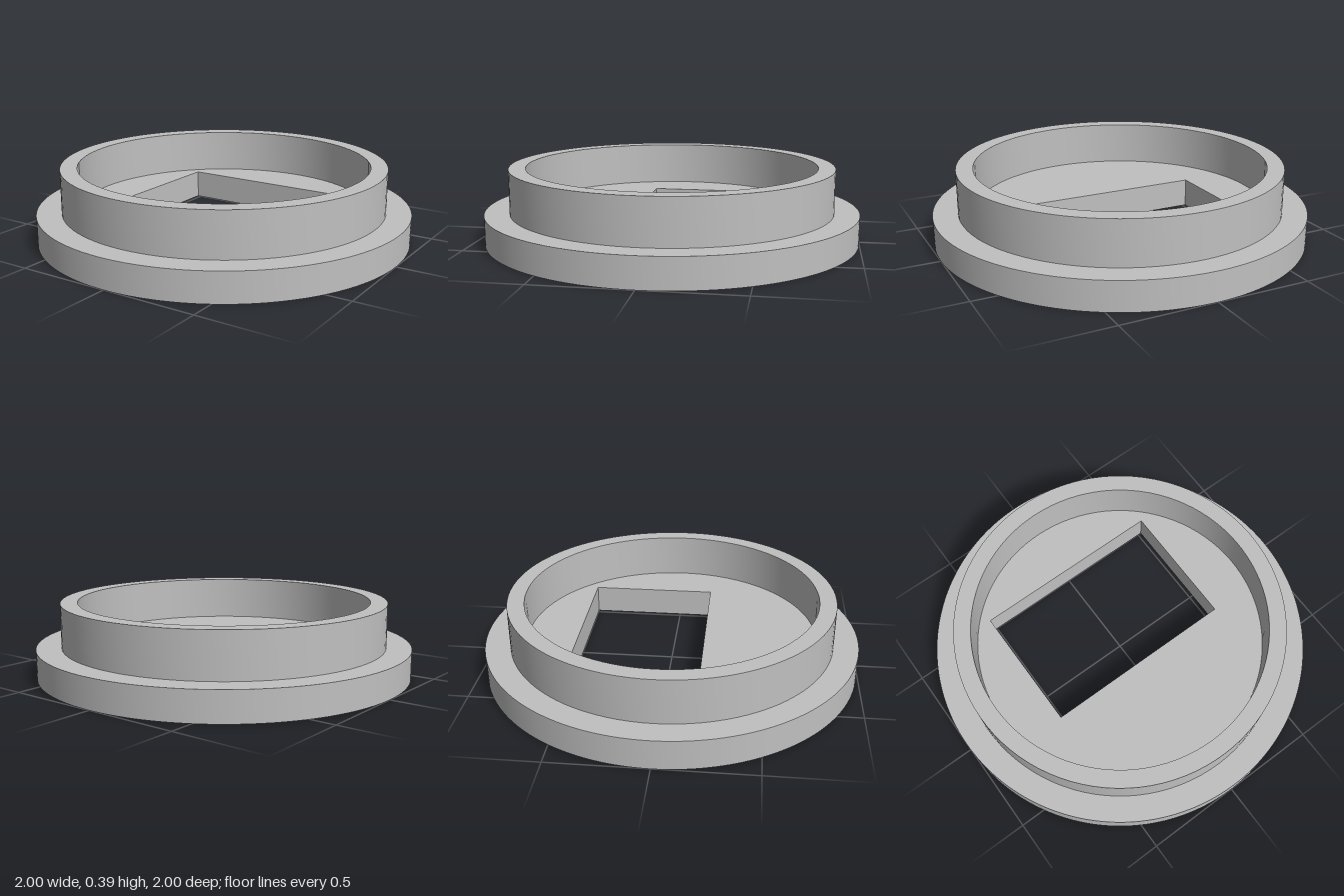
import * as THREE from 'three';
import { toCreasedNormals } from 'three/addons/utils/BufferGeometryUtils.js';

const FLANGE_HEIGHT = 0.155, TOP = 0.39;
const OUTER = 1, COLLAR_OUTER = 0.868, COLLAR_INNER = 0.778;

export function createModel() {
  const group = new THREE.Group();
  const grey = new THREE.MeshStandardMaterial({ color: 0xc0c0c0 });
  grey.name = 'light grey';

  const add = (name, geometry) => {
    const mesh = new THREE.Mesh(toCreasedNormals(geometry, 0.5), grey);
    mesh.name = name;
    group.add(mesh);
  };

  // Round base flange with an off-centre rectangular window
  const disc = new THREE.Shape().absarc(0, 0, OUTER, 0, Math.PI * 2, false);
  const windowHole = new THREE.Path([
    [-0.52, -0.18], [-0.52, 0.5], [0.52, 0.5], [0.52, -0.18],
  ].map(([x, y]) => new THREE.Vector2(x, y)));
  windowHole.closePath();
  disc.holes.push(windowHole);
  const flange = new THREE.ExtrudeGeometry(disc, {
    depth: FLANGE_HEIGHT, bevelEnabled: false, curveSegments: 96,
  });
  flange.rotateX(-Math.PI / 2);
  add('baseFlange', flange);

  // Raised collar: outer wall, flat rim and inner wall
  const profile = [
    [COLLAR_OUTER, FLANGE_HEIGHT], [COLLAR_OUTER, TOP],
    [COLLAR_INNER, TOP], [COLLAR_INNER, FLANGE_HEIGHT],
  ].map(([r, y]) => new THREE.Vector2(r, y));
  add('collar', new THREE.LatheGeometry(profile, 96));

  return group;
}
